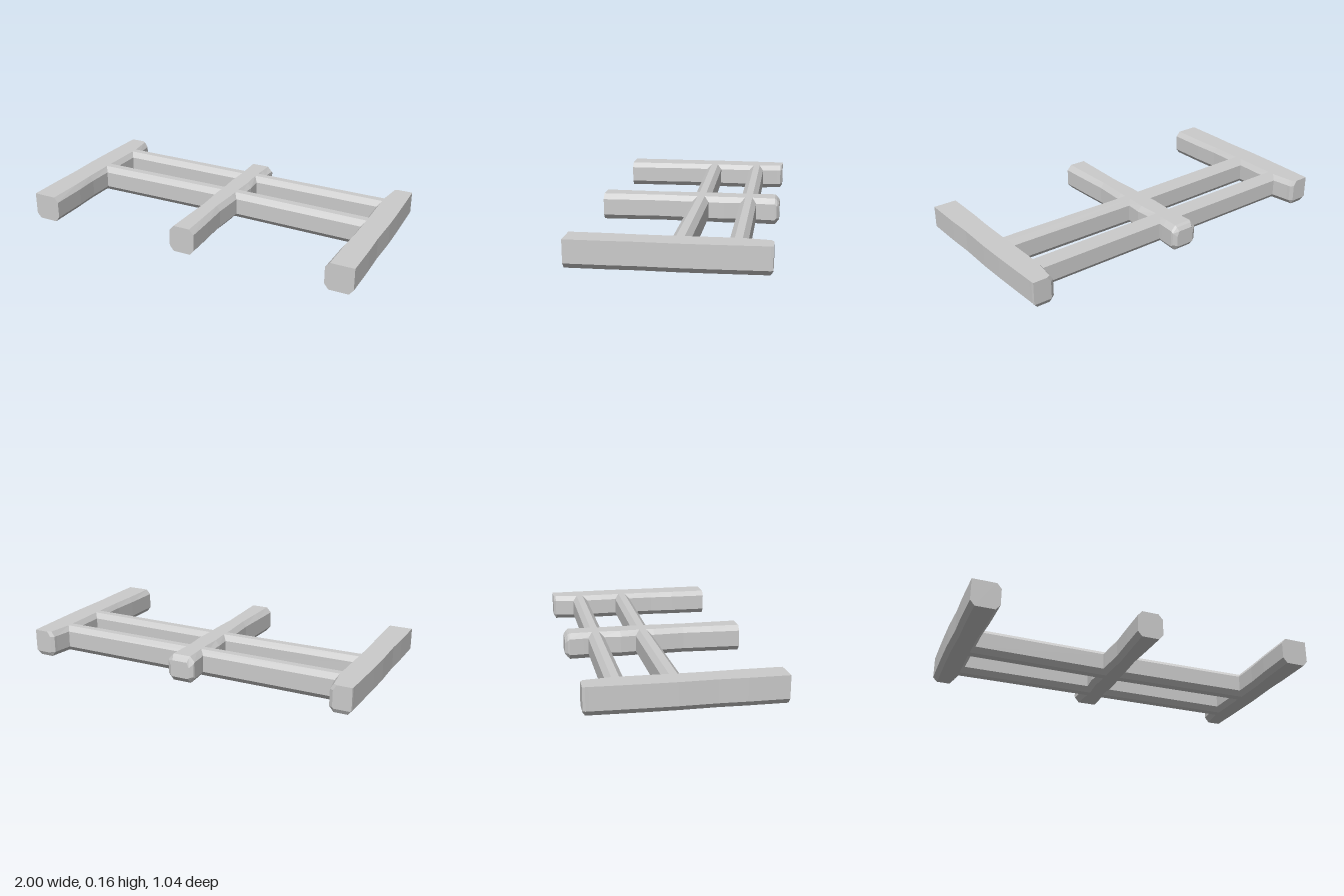
import * as THREE from 'three';

const H = 0.155; // beam height
const material = new THREE.MeshStandardMaterial({ color: 0xcccccc, flatShading: true });

// Chamfered cross-section at z: spans x0..x1, with top chamfers c0/c1 and bottom chamfers b0/b1
function section(z, x0, x1, c0, c1, { bottom = 0, top = H, b0 = 0.025, b1 = 0.025, rise = 0.03 } = {}) {
  const drop = (c) => (c > 0.001 ? top - 0.03 : top);
  return [
    [x0 + b0, bottom], [x1 - b1, bottom], [x1, bottom + rise], [x1, drop(c1)],
    [x1 - c1, top], [x0 + c0, top], [x0, drop(c0)], [x0, bottom + rise],
  ].map(([x, y]) => new THREE.Vector3(x, y, z));
}

// Skin sections that run from +z to -z, and cap both ends
function loft(name, sections) {
  const pos = [];
  const tri = (...pts) => pts.forEach((p) => pos.push(p.x, p.y, p.z));
  const n = sections[0].length;
  for (let i = 0; i < sections.length - 1; i++) {
    const s = sections[i], t = sections[i + 1];
    for (let j = 0; j < n; j++) {
      const k = (j + 1) % n;
      tri(s[j], t[j], t[k]);
      tri(s[j], t[k], s[k]);
    }
  }
  const first = sections[0], last = sections[sections.length - 1];
  for (let j = 1; j < n - 1; j++) {
    tri(first[0], first[j], first[j + 1]);
    tri(last[0], last[j + 1], last[j]);
  }
  const geometry = new THREE.BufferGeometry();
  geometry.setAttribute('position', new THREE.Float32BufferAttribute(pos, 3));
  geometry.computeVertexNormals();
  const mesh = new THREE.Mesh(geometry, material);
  mesh.name = name;
  return mesh;
}

// Long outer beam: square outer top edge, chamfered inner top edge, worn back end
function sideBeam(name, side) {
  const rows = [ // z, inner x, outer x, inner chamfer
    [0.52, 0.84, 1, 0.025],
    [0.3, 0.843, 1, 0.022],
    [0.15, 0.85, 0.996, 0.02],
    [-0.05, 0.848, 1, 0.022],
    [-0.2, 0.845, 0.998, 0.022],
    [-0.36, 0.842, 0.994, 0.023],
    [-0.49, 0.862, 0.99, 0.02],
    [-0.508, 0.864, 0.99, 0.02],
    [-0.522, 0.885, 0.988, 0.02, { bottom: 0.025, b0: 0.006, b1: 0.006, rise: 0.006 }],
  ];
  return loft(name, rows.map(([z, inner, outer, c, opts]) => (side > 0
    ? section(z, inner, outer, c, 0, opts)
    : section(z, -outer, -inner, 0, c, opts))));
}

// Centre beam, slightly waisted between the joints, with a bevelled back end
function centreBeam() {
  const rows = [ // z, half width, chamfer
    [0.52, 0.076, 0.027],
    [0.35, 0.07, 0.025],
    [0.18, 0.062, 0.022],
    [0, 0.07, 0.022],
    [-0.08, 0.068, 0.022],
    [-0.2, 0.077, 0.025],
    [-0.32, 0.066, 0.02],
    [-0.42, 0.075, 0.025],
    [-0.498, 0.08, 0.028],
    [-0.51, 0.078, 0.028, { top: H - 0.01, bottom: 0.012 }],
    [-0.525, 0.056, 0.012, { top: H - 0.03, bottom: 0.03, b0: 0.006, b1: 0.006, rise: 0.006 }],
  ];
  return loft('centreBeam', rows.map(([z, w, c, opts]) => section(z, -w, w, c, c, opts)));
}

// Cross rail from side to side; rows give x, back z, front z
function crossRail(name, rows) {
  const rail = loft(name, rows.map(([x, back, front]) => section(x, -front, -back, 0.03, 0.025)));
  rail.rotation.y = Math.PI / 2;
  return rail;
}

export function createModel() {
  const model = new THREE.Group();
  model.name = 'beamFrame';
  model.add(
    sideBeam('leftBeam', 1),
    sideBeam('rightBeam', -1),
    centreBeam(),
    crossRail('backRail', [[0.88, -0.39, -0.295], [-0.88, -0.39, -0.295]]),
    crossRail('middleRail', [[0.88, -0.1, -0.002], [0, -0.11, -0.014], [-0.88, -0.1, -0.002]]),
  );
  return model;
}
